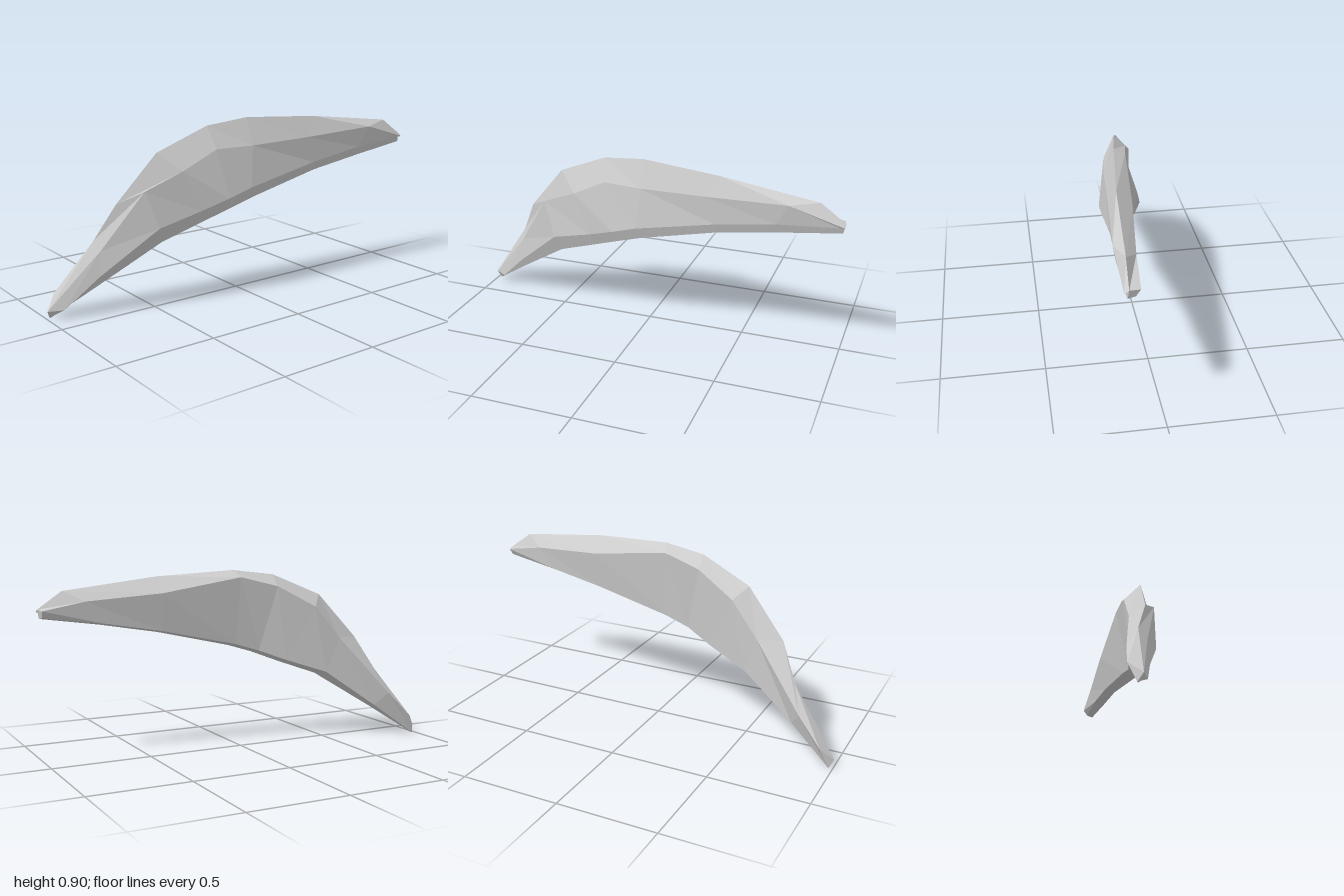
import * as THREE from 'three';

// Stations from the low front tip to the rear tip.
// Each holds the ridge, left flank, keel and right flank points, then the keel size.
const STATIONS = [
  [[-0.15, 0.04, 1], [-0.11, 0.045, 0.93], [-0.165, 0, 0.98], [-0.2, 0.105, 0.94], 0.1],
  [[-0.095, 0.365, 0.77], [-0.05, 0.32, 0.76], [-0.06, 0.155, 0.76], [-0.165, 0.235, 0.82], 0.7],
  [[-0.03, 0.54, 0.68], [0.05, 0.6, 0.57], [0.05, 0.34, 0.48], [-0.07, 0.54, 0.56], 1.4],
  [[0.015, 0.77, 0.48], [0.09, 0.68, 0.38], [0.09, 0.415, 0.27], [-0.05, 0.71, 0.42], 1.1],
  [[0.06, 0.88, 0.22], [0.115, 0.77, 0.2], [0.13, 0.47, 0.13], [0, 0.82, 0.22], 1],
  [[0.09, 0.905, 0], [0.14, 0.77, 0], [0.14, 0.51, 0], [0.03, 0.87, 0.02], 1],
  [[0.135, 0.88, -0.4], [0.165, 0.78, -0.33], [0.145, 0.6, -0.4], [0.06, 0.8, -0.4], 0.8],
  [[0.165, 0.82, -0.88], [0.2, 0.8, -0.74], [0.165, 0.65, -0.7], [0.105, 0.77, -0.78], 0.8],
  [[0.17, 0.735, -1], [0.19, 0.72, -1], [0.175, 0.69, -0.99], [0.12, 0.73, -0.99], 0.5],
];

// Six-sided ring: the keel's two shoulders follow from its position and size
function ring([ridge, leftFlank, keel, rightFlank, size]) {
  const shoulder = (...offset) => keel.map((v, k) => v + offset[k] * size);
  return [
    ridge,
    leftFlank,
    shoulder(0.02, 0.055, 0.02),
    keel,
    shoulder(-0.07, 0.012, 0.01),
    rightFlank,
  ];
}

// Joins neighbouring rings with triangles and closes both ends
function loft(rings) {
  const n = rings[0].length;
  const last = (rings.length - 1) * n;
  const index = [];
  for (let i = 0; i < rings.length - 1; i++) {
    for (let j = 0; j < n; j++) {
      const a = i * n + j;
      const b = i * n + (j + 1) % n;
      index.push(a, b, b + n, a, b + n, a + n);
    }
  }
  for (let j = 1; j < n - 1; j++) {
    index.push(0, j + 1, j, last, last + j, last + j + 1);
  }
  const geometry = new THREE.BufferGeometry();
  geometry.setAttribute('position', new THREE.Float32BufferAttribute(rings.flat(2), 3));
  geometry.setIndex(index);
  const faceted = geometry.toNonIndexed();
  faceted.computeVertexNormals();
  return faceted;
}

export function createModel() {
  const group = new THREE.Group();
  group.name = 'curvedShard';

  const paleGrey = new THREE.MeshStandardMaterial({ color: 0xcccccc, flatShading: true });
  paleGrey.name = 'paleGrey';

  // Single faceted, arched body
  const body = new THREE.Mesh(loft(STATIONS.map(ring)), paleGrey);
  body.name = 'archedBody';
  group.add(body);

  return group;
}
